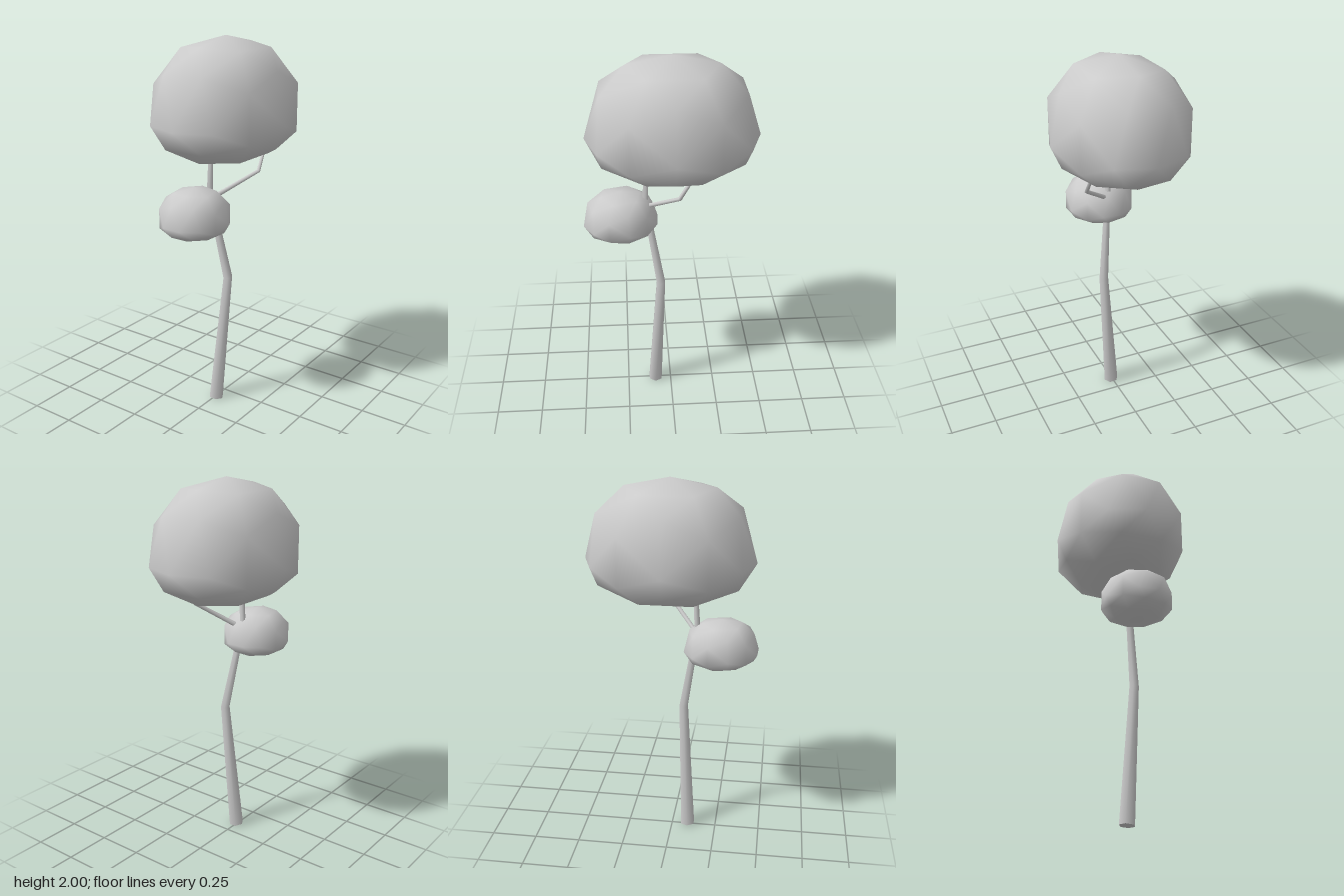
import * as THREE from 'three';
import { mergeVertices } from 'three/addons/utils/BufferGeometryUtils.js';

const material = new THREE.MeshStandardMaterial({ color: 0xcccccc });

// Foliage: a 42-vertex ball, domed above its widest line and flatter below it
function foliage(name, position, rx, rz, up, down, turn = 0) {
  let geo = new THREE.IcosahedronGeometry(1, 1);
  geo.deleteAttribute('uv');
  geo.deleteAttribute('normal');
  geo = mergeVertices(geo, 1e-3);
  const p = geo.attributes.position;
  for (let i = 0; i < p.count; i++) {
    const y = p.getY(i);
    const h = y > 1e-4 ? up * Math.pow(y, 0.72) : down * y;
    p.setXYZ(i, p.getX(i) * rx, h, p.getZ(i) * rz);
  }
  geo.computeVertexNormals();
  const mesh = new THREE.Mesh(geo, material);
  mesh.name = name;
  mesh.position.set(...position);
  mesh.rotation.y = turn;
  return mesh;
}

// Wood: tapered tube through stations [x, y, z, radius], with capped ends
function limb(name, stations, sides = 6) {
  const pts = stations.map(([x, y, z]) => new THREE.Vector3(x, y, z));
  const last = pts.length - 1;
  const pos = [], index = [];
  const rings = pts.map((c, i) => {
    const dir = new THREE.Vector3();
    if (i > 0) dir.add(c.clone().sub(pts[i - 1]).normalize());
    if (i < last) dir.add(pts[i + 1].clone().sub(c).normalize());
    const q = new THREE.Quaternion().setFromUnitVectors(new THREE.Vector3(0, 1, 0), dir.normalize());
    return Array.from({ length: sides }, (_, k) => {
      const a = (k / sides) * Math.PI * 2;
      const r = stations[i][3];
      return new THREE.Vector3(Math.sin(a) * r, 0, Math.cos(a) * r).applyQuaternion(q).add(c);
    });
  });
  rings.forEach(ring => ring.forEach(v => pos.push(v.x, v.y, v.z)));
  for (let i = 0; i < last; i++) {
    for (let k = 0; k < sides; k++) {
      const a = i * sides + k, b = i * sides + (k + 1) % sides;
      index.push(a, b, b + sides, a, b + sides, a + sides);
    }
  }
  // Caps have their own vertices so their edges stay sharp
  for (const end of [0, last]) {
    const start = pos.length / 3;
    rings[end].forEach(v => pos.push(v.x, v.y, v.z));
    for (let k = 1; k < sides - 1; k++) {
      if (end === 0) index.push(start, start + k + 1, start + k);
      else index.push(start, start + k, start + k + 1);
    }
  }
  const geo = new THREE.BufferGeometry();
  geo.setAttribute('position', new THREE.Float32BufferAttribute(pos, 3));
  geo.setIndex(index);
  geo.computeVertexNormals();
  const mesh = new THREE.Mesh(geo, material);
  mesh.name = name;
  return mesh;
}

export function createModel() {
  const tree = new THREE.Group();
  tree.name = 'tree';
  tree.add(
    // Bent trunk, carrying on as the upright branch into the crown
    limb('trunk', [
      [-0.09, 0.003, 0.005, 0.041],
      [-0.056, 0.735, 0.06, 0.026],
      [-0.134, 1.21, 0.0, 0.017],
      [-0.12, 1.45, 0.0, 0.013],
    ]),
    // Side branch leaning forward and to the left
    limb('sideBranch', [
      [-0.12, 1.195, 0.02, 0.013],
      [0.035, 1.325, 0.188, 0.011],
      [0.11, 1.45, 0.18, 0.009],
    ]),
    foliage('crown', [0.01, 1.58, 0], 0.443, 0.362, 0.42, 0.227),
    foliage('lowerFoliage', [-0.262, 1.1, 0], 0.201, 0.187, 0.174, 0.092, 0.25),
  );
  return tree;
}
